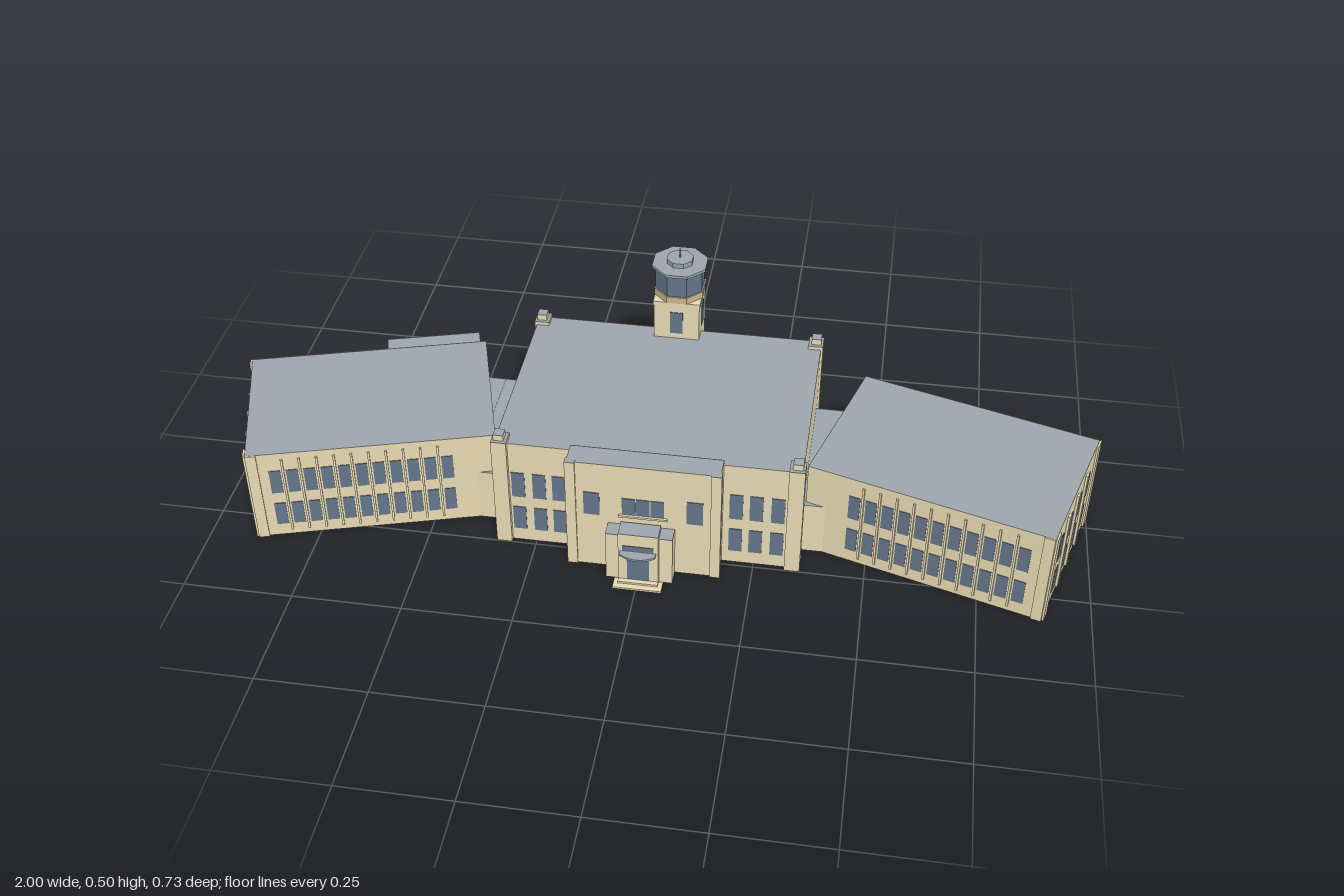
import * as THREE from 'three';

const material = (name, color) => {
  const m = new THREE.MeshStandardMaterial({ color, side: THREE.DoubleSide, flatShading: true });
  m.name = name;
  return m;
};

export function createModel() {
  const stone = material('sandstone', 0xe6d9b1);
  const trim = material('trim stone', 0xc8b78d);
  const roof = material('roof grey', 0x9ca4ab);
  const glass = material('window glass', 0x63758a);

  const model = new THREE.Group();
  model.name = 'building';
  const group = (name, x = 0, z = 0) => {
    const g = new THREE.Group();
    g.name = name;
    g.position.set(x, 0, z);
    model.add(g);
    return g;
  };

  const add = (parent, name, geometry, mat) => {
    const mesh = new THREE.Mesh(geometry, mat);
    mesh.name = name;
    parent.add(mesh);
    return mesh;
  };

  // Box given by its x, y and z ranges
  const box = (parent, name, mat, x0, x1, y0, y1, z0, z1) => {
    const mesh = add(parent, name, new THREE.BoxGeometry(Math.abs(x1 - x0), y1 - y0, Math.abs(z1 - z0)), mat);
    mesh.position.set((x0 + x1) / 2, (y0 + y1) / 2, (z0 + z1) / 2);
  };

  // Stone block with a thin grey covering
  const cappedBox = (parent, name, x0, x1, y0, y1, z0, z1) => {
    box(parent, name, stone, x0, x1, y0, y1, z0, z1);
    box(parent, name + 'Covering', roof, x0, x1, y1, y1 + 0.001, z0, z1);
  };

  // Thin plates standing off a wall that faces z or x, on the side away from the origin
  const plateZ = (parent, name, mat, x, z, w, y0, y1, t = 0.002) =>
    box(parent, name, mat, x - w / 2, x + w / 2, y0, y1, z + Math.sign(z) * 0.0005, z + Math.sign(z) * t);
  const plateX = (parent, name, mat, x, z, w, y0, y1, t = 0.002) =>
    box(parent, name, mat, x + Math.sign(x) * 0.0005, x + Math.sign(x) * t, y0, y1, z - w / 2, z + w / 2);

  // Hollow building volume: walls round an outline of [x, z] points and a flat roof, open below
  const shell = (parent, name, outline, height, topMaterial = roof) => {
    const positions = [];
    outline.forEach(([ax, az], i) => {
      const [bx, bz] = outline[(i + 1) % outline.length];
      positions.push(ax, 0, az, bx, 0, bz, bx, height, bz, ax, 0, az, bx, height, bz, ax, height, az);
    });
    const walls = new THREE.BufferGeometry();
    walls.setAttribute('position', new THREE.Float32BufferAttribute(positions, 3));
    walls.computeVertexNormals();
    add(parent, name + 'Walls', walls, stone);
    const shape = new THREE.Shape(outline.map(([x, z]) => new THREE.Vector2(x, -z)));
    const top = add(parent, name + 'Roof', new THREE.ShapeGeometry(shape), topMaterial);
    top.rotation.x = -Math.PI / 2;
    top.position.y = height - 0.001;
  };
  const rect = (x0, x1, z0, z1) => [[x0, z1], [x1, z1], [x1, z0], [x0, z0]];
  const rows = [[0.033, 0.095], [0.126, 0.19]];
  const centre = 0.007; // the middle parts sit slightly off the wings' axis

  // Main block with corner piers
  const main = group('mainBlock', centre);
  shell(main, 'main', rect(-0.343, 0.343, -0.254, 0.238), 0.281);
  for (const s of [-1, 1]) {
    for (const z of [-0.239, 0.229]) {
      cappedBox(main, 'cornerPier', s * 0.313, s * 0.348, 0, 0.288, z - 0.02, z + 0.02);
      cappedBox(main, 'cornerCap', s * 0.32, s * 0.343, 0.288, 0.303, z - 0.012, z + 0.012);
    }
    for (const [y0, y1] of [[0.035, 0.1], [0.13, 0.2]]) {
      for (const x of [0.2, 0.245, 0.293])
        plateZ(main, 'frontWindow', glass, s * x, 0.238, 0.03, y0, y1);
      for (const x of [0.13, 0.195, 0.26])
        plateZ(main, 'backWindow', glass, s * x, -0.254, 0.032, y0, y1);
    }
  }

  // Projecting centre bay
  const bay = group('centreBay', centre);
  shell(bay, 'bay', rect(-0.17, 0.17, 0.236, 0.293), 0.294);
  for (const s of [-1, 1]) {
    cappedBox(bay, 'bayPier', s * 0.15, s * 0.173, 0, 0.293, 0.28, 0.297);
    plateZ(bay, 'bayWindow', glass, s * 0.115, 0.293, 0.036, 0.15, 0.213);
  }
  for (const x of [-0.032, 0, 0.032]) plateZ(bay, 'middleWindow', glass, x, 0.293, 0.03, 0.16, 0.205);
  plateZ(bay, 'windowSill', stone, 0, 0.293, 0.11, 0.153, 0.158, 0.006);

  // Entrance portico, canopy and steps
  const portico = group('portico', centre - 0.004);
  cappedBox(portico, 'porticoBody', -0.075, 0.075, 0, 0.128, 0.29, 0.33);
  cappedBox(portico, 'porticoFront', -0.045, 0.045, 0, 0.141, 0.3, 0.341);
  plateZ(portico, 'door', glass, 0, 0.341, 0.05, 0.012, 0.082);
  plateZ(portico, 'transom', glass, 0, 0.341, 0.07, 0.097, 0.11);
  const canopy = new THREE.Shape();
  canopy.moveTo(-0.04, 0);
  canopy.lineTo(-0.04, -0.012);
  canopy.quadraticCurveTo(0, -0.04, 0.04, -0.012);
  canopy.lineTo(0.04, 0);
  const canopyMesh = add(portico, 'canopy', new THREE.ExtrudeGeometry(canopy, { depth: 0.005, bevelEnabled: false }), roof);
  canopyMesh.rotation.x = -Math.PI / 2;
  canopyMesh.position.set(0, 0.089, 0.341);
  box(portico, 'lowerStep', stone, -0.055, 0.055, 0, 0.005, 0.335, 0.366);
  box(portico, 'upperStep', stone, -0.045, 0.045, 0.005, 0.01, 0.335, 0.352);

  // Tower with octagonal lantern
  const tower = group('tower', centre - 0.002, -0.27);
  shell(tower, 'tower', rect(-0.054, 0.054, -0.054, 0.054), 0.382);
  shell(tower, 'towerAnnex', rect(-0.088, 0.062, -0.056, 0.015), 0.133, stone);
  box(tower, 'towerBand', stone, -0.056, 0.056, 0.371, 0.382, -0.056, 0.056);
  const octagon = (name, mat, apothem, y0, y1) => {
    const r = apothem / Math.cos(Math.PI / 8);
    const mesh = add(tower, name, new THREE.CylinderGeometry(r, r, y1 - y0, 8), mat);
    mesh.rotation.y = Math.PI / 8;
    mesh.position.y = (y0 + y1) / 2;
  };
  octagon('lanternBase', trim, 0.058, 0.382, 0.399);
  octagon('lanternGlass', glass, 0.055, 0.399, 0.456);
  octagon('lanternRoof', roof, 0.063, 0.456, 0.463);
  octagon('lanternCap', roof, 0.03, 0.463, 0.475);
  octagon('finial', roof, 0.002, 0.475, 0.498);
  for (const s of [-1, 1]) {
    plateX(tower, 'towerSideWindow', glass, s * 0.054, 0, 0.03, 0.295, 0.354);
    plateZ(tower, 'towerWindow', glass, 0, s * 0.054, 0.03, 0.295, 0.354);
  }
  plateZ(tower, 'towerLowerWindow', glass, 0, -0.054, 0.03, 0.18, 0.24);

  // Angled wings with low connectors
  const L = 0.279, back = -0.181, front = 0.187, H = 0.238;
  for (const s of [-1, 1]) {
    shell(model, 'connector', rect(s * 0.34, s * 0.412, -0.182, 0.175), 0.135);
    shell(model, 'connectorBack', rect(s * 0.412, s * 0.453, -0.182, 0), 0.135);

    const wing = group(s > 0 ? 'leftWing' : 'rightWing', s * 0.675 + 0.002, 0.0625);
    wing.rotation.y = -s * 0.291;
    shell(wing, 'wing', rect(-L, L, back, front), H);

    // Front windows and fins
    const step = 0.0386;
    for (let i = 0; i < 11; i++) {
      const u = -0.166 + i * step;
      for (const [y0, y1] of rows) plateZ(wing, 'wingFrontWindow', glass, s * u, front, 0.026, y0, y1);
      if (i < 10) plateZ(wing, 'frontFin', stone, s * (u + step / 2), front, 0.005, 0.015, 0.222, 0.005);
    }
    plateZ(wing, 'frontPier', stone, s * (L - 0.012), front, 0.024, 0, H, 0.004);

    // End windows, fins and piers
    for (const w of [0.115, 0.039, -0.036, -0.109])
      for (const [y0, y1] of rows) plateX(wing, 'wingEndWindow', glass, s * L, w, 0.027, y0, y1);
    for (const w of [0.078, 0.003, -0.072])
      plateX(wing, 'endFin', stone, s * L, w, 0.013, 0.015, 0.22, 0.006);
    for (const w of [back + 0.013, front - 0.014])
      plateX(wing, 'endPier', stone, s * L, w, 0.026, 0, H, 0.005);

    // Back windows
    for (let i = 0; i < 7; i++)
      plateZ(wing, 'wingBackWindow', glass, s * (0.216 - i * 0.061), back, 0.03, 0.147, 0.188);

    if (s > 0) {
      for (const u of [0.21, 0.15, 0.09])
        plateZ(wing, 'wingBackLowerWindow', glass, u, back, 0.032, 0.03, 0.093);
    } else {
      // Low stepped annex behind one wing
      const outline = [[0.245, back], [0.245, -0.33], [-0.034, -0.33], [-0.034, -0.369], [-0.266, -0.369], [-0.266, back]];
      shell(wing, 'annex', outline.map(([u, w]) => [-u, w]), 0.133);
      for (const u of [0.01, 0.058, 0.106, 0.154])
        plateZ(wing, 'annexWindow', glass, -u, -0.33, 0.03, 0.035, 0.09);
    }
  }
  return model;
}
